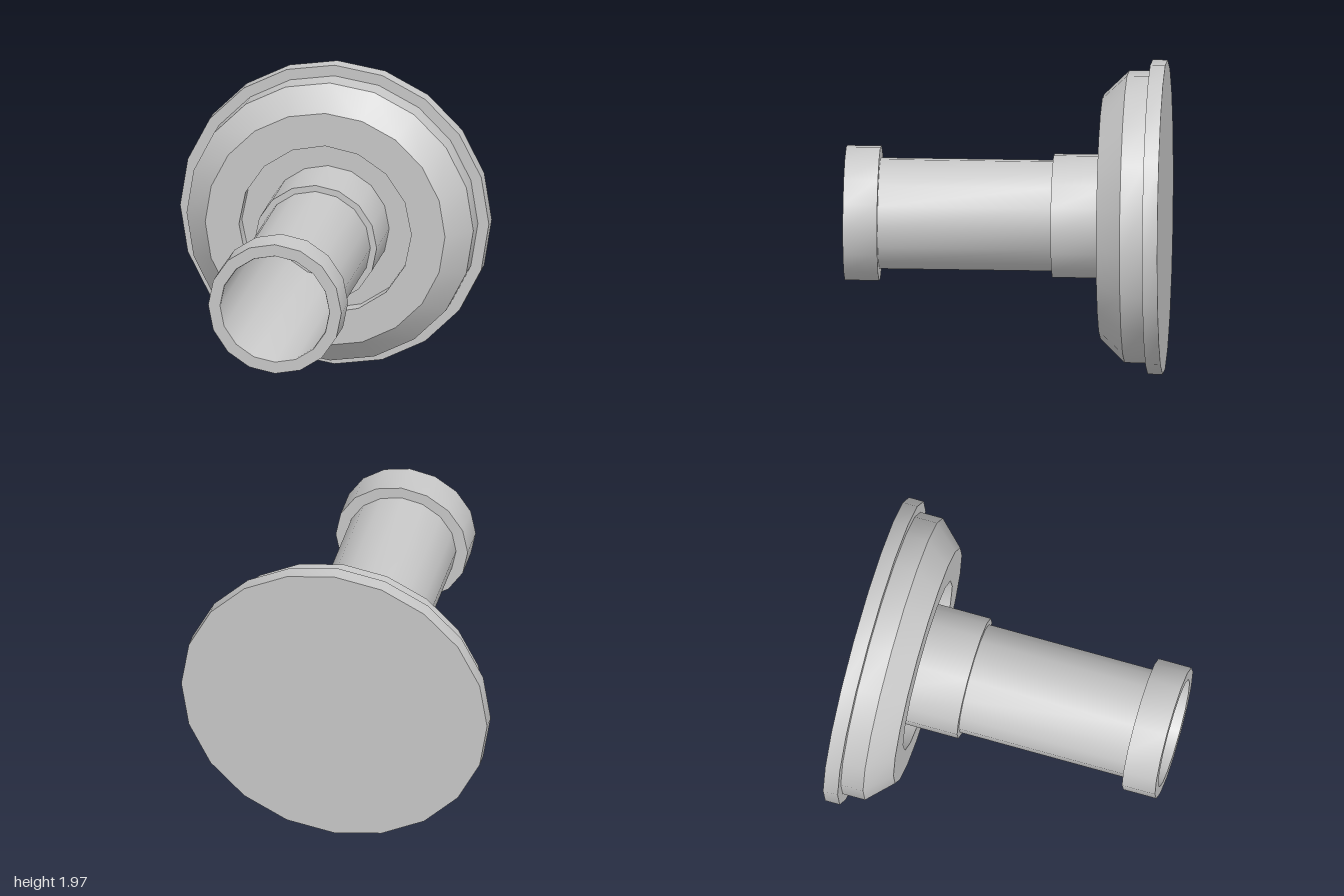
import * as THREE from 'three';
import { toCreasedNormals } from 'three/addons/utils/BufferGeometryUtils.js';

const CENTRE_Y = 0.985;

// Revolve a [radius, z] profile around the z axis, keeping profile corners sharp
function turned(profile, sides) {
  const points = profile.map(([r, z]) => new THREE.Vector2(r, z));
  const geometry = new THREE.LatheGeometry(points, sides).rotateX(Math.PI / 2);
  return toCreasedNormals(geometry, 0.6);
}

// Corners of a regular polygon with one corner at the top
function polygon(radius, sides) {
  return Array.from({ length: sides }, (_, i) => {
    const a = Math.PI / 2 + (i / sides) * Math.PI * 2;
    return new THREE.Vector2(Math.cos(a) * radius, Math.sin(a) * radius);
  });
}

export function createModel() {
  const model = new THREE.Group();
  model.name = 'flangedTube';
  const grey = new THREE.MeshStandardMaterial({ color: 0xc8c8c8 });
  grey.name = 'plain grey';

  function add(name, geometry) {
    const mesh = new THREE.Mesh(geometry, grey);
    mesh.name = name;
    mesh.position.y = CENTRE_Y;
    model.add(mesh);
  }

  // Wide base: flat back, thin rim, drum and bevel
  add('baseFlange', turned([
    [0, -1], [0.985, -1], [0.985, -0.905], [0.915, -0.905],
    [0.915, -0.76], [0.765, -0.605],
  ], 20));

  // Flat front of the base, open around the recess
  const face = new THREE.Shape(polygon(0.765, 20));
  face.holes.push(new THREE.Path(polygon(0.55, 16)));
  add('baseFace', new THREE.ShapeGeometry(face).translate(0, 0, -0.605));

  // Round recess in the base with the lower collar rising from it
  add('recessAndCollar', turned([
    [0.55, -0.605], [0.55, -0.7], [0.39, -0.7], [0.39, -0.3], [0.35, -0.3],
  ], 16));

  // Tube wall and raised mouth ring
  add('tube', turned([[0.35, -0.3], [0.35, 0.785]], 16));
  add('mouthRing', turned([
    [0.35, 0.785], [0.425, 0.785], [0.425, 1], [0.35, 1],
  ], 16));

  // Hollow inside of the tube with a closed end (slightly inset from the wall)
  add('bore', turned([[0.35, 1], [0.346, 0.99], [0.346, -0.7], [0, -0.7]], 16));

  return model;
}
